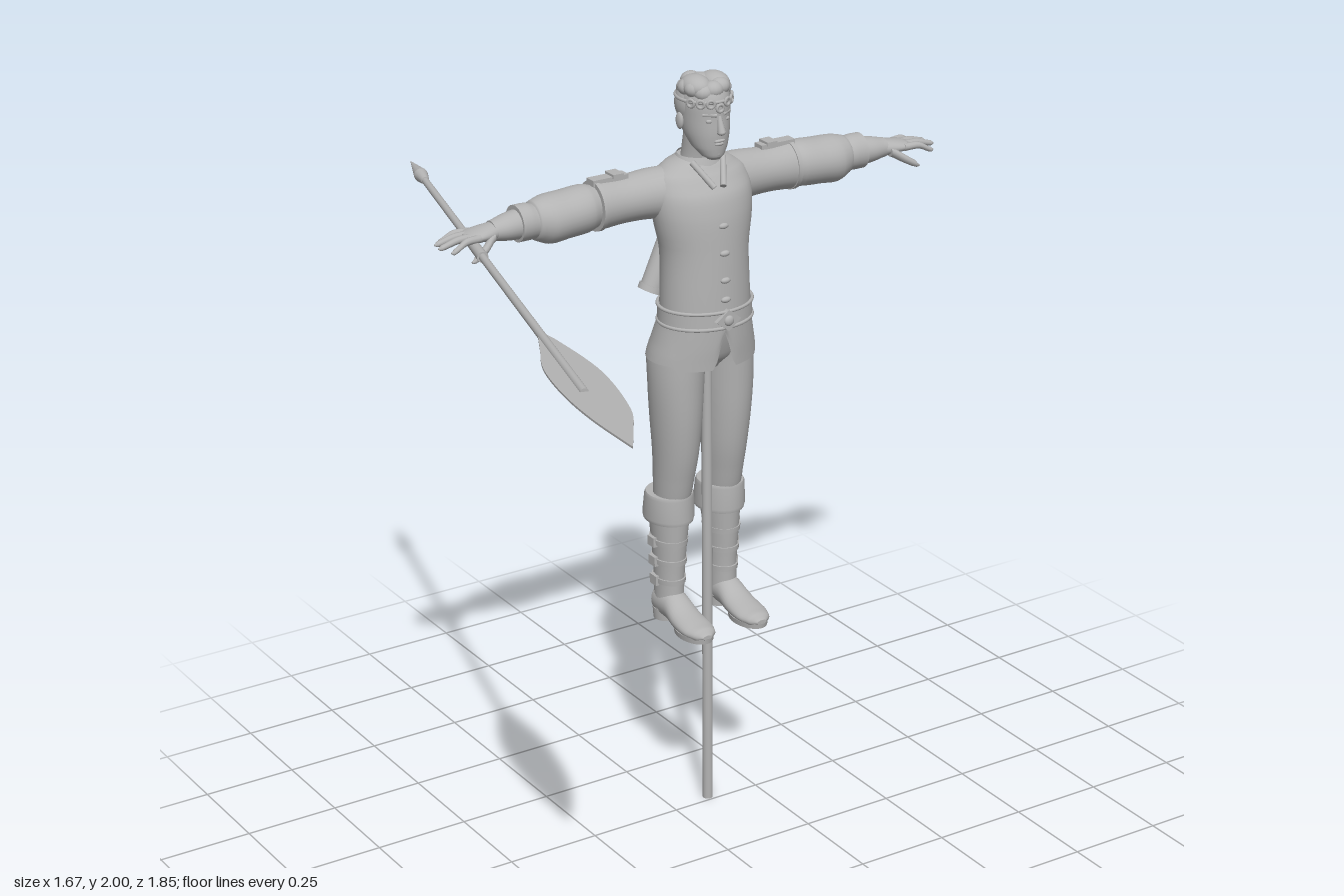
import * as THREE from 'three';

const grey = new THREE.MeshStandardMaterial({ color: 0xb3b3b3, side: THREE.DoubleSide });
grey.name = 'plain grey';

// Which coordinates (u, v) lie across each loft axis.
const ACROSS = { x: ['z', 'y'], y: ['x', 'z'], z: ['y', 'x'] };

// Elliptical loft. Rows are [t, centreU, centreV, radiusU, radiusV], t rising; smooth = steps between rows.
function loft(axis, rows, { smooth = 4, seg = 28, caps = true } = {}) {
  const rings = [];
  const at = (i) => rows[Math.max(0, Math.min(rows.length - 1, i))];
  for (let i = 0; i < rows.length - 1; i++) {
    for (let k = 0; k < smooth; k++) {
      const f = k / smooth;
      rings.push(rows[i].map((p1, c) => {
        const p0 = at(i - 1)[c], p2 = at(i + 1)[c], p3 = at(i + 2)[c];
        if (c === 0) return p1 + (p2 - p1) * f;
        const v = 0.5 * (2 * p1 + (p2 - p0) * f + (2 * p0 - 5 * p1 + 4 * p2 - p3) * f * f + (3 * p1 - p0 - 3 * p2 + p3) * f ** 3);
        return c > 2 ? Math.max(v, 0.001) : v;
      }));
    }
  }
  rings.push(rows[rows.length - 1]);
  const pos = [], idx = [], [u, v] = ACROSS[axis];
  const put = (t, a, b) => {
    const p = { [axis]: t, [u]: a, [v]: b };
    pos.push(p.x, p.y, p.z);
  };
  const ring = ([t, cu, cv, ru, rv]) => {
    for (let j = 0; j < seg; j++) {
      const q = (j / seg) * Math.PI * 2;
      put(t, cu + ru * Math.cos(q), cv + rv * Math.sin(q));
    }
  };
  rings.forEach(ring);
  for (let i = 0; i < rings.length - 1; i++) for (let j = 0; j < seg; j++) {
    const a = i * seg + j, c = i * seg + (j + 1) % seg;
    idx.push(a, a + seg, c, c, a + seg, c + seg);
  }
  if (caps) [rings[0], rings[rings.length - 1]].forEach((r, end) => {
    const base = pos.length / 3;
    ring(r);
    put(r[0], r[1], r[2]);
    for (let j = 0; j < seg; j++) {
      const a = base + j, b = base + (j + 1) % seg, m = base + seg;
      if (end) idx.push(m, b, a); else idx.push(m, a, b);
    }
  });
  const g = new THREE.BufferGeometry();
  g.setAttribute('position', new THREE.Float32BufferAttribute(pos, 3));
  g.setIndex(idx);
  g.computeVertexNormals();
  return g;
}

// Copy of a geometry reflected in x.
function mirrored(geo) {
  const g = geo.clone().scale(-1, 1, 1), a = g.index.array;
  for (let i = 0; i < a.length; i += 3) [a[i], a[i + 1]] = [a[i + 1], a[i]];
  g.computeVertexNormals();
  return g;
}

// Tapered round bar between two points.
function bar(a, b, ra, rb = ra, seg = 16) {
  const A = new THREE.Vector3(...a), B = new THREE.Vector3(...b), d = B.clone().sub(A);
  const g = new THREE.CylinderGeometry(rb, ra, d.length(), seg);
  g.applyQuaternion(new THREE.Quaternion().setFromUnitVectors(new THREE.Vector3(0, 1, 0), d.normalize()));
  const m = A.add(B).multiplyScalar(0.5);
  return g.translate(m.x, m.y, m.z);
}

const ball = (x, y, z, rx, ry, rz, n = 20) => new THREE.SphereGeometry(1, n, n).scale(rx, ry, rz).translate(x, y, z);
const box = (x, y, z, w, h, d) => new THREE.BoxGeometry(w, h, d).translate(x, y, z);

export function createModel() {
  const root = new THREE.Group();
  root.name = 'mountedFigure';
  const figure = new THREE.Group();
  figure.name = 'figure';
  figure.position.x = 0.11;
  root.add(figure);
  const add = (name, geo, parent = figure) => {
    const m = new THREE.Mesh(geo, grey);
    m.name = name;
    parent.add(m);
    return m;
  };
  const pair = (name, geo) => {
    add(name + 'Left', geo);
    add(name + 'Right', mirrored(geo));
  };

  // Support pole
  add('supportPole', bar([0, 0, -0.268], [0, 1.3, -0.268], 0.0135));

  // Tunic, with belt and split skirt
  add('tunic', loft('y', [[1.36, 0, -0.276, 0.119, 0.099], [1.42, 0, -0.276, 0.119, 0.098], [1.55, 0, -0.279, 0.117, 0.096],
    [1.64, 0, -0.287, 0.133, 0.098], [1.7, 0, -0.296, 0.137, 0.094], [1.745, 0, -0.308, 0.125, 0.078],
    [1.77, 0, -0.31, 0.088, 0.062], [1.785, 0, -0.308, 0.055, 0.05]], { seg: 40 }));
  const skirt = loft('y', [[1.268, 0, -0.297, 0.147, 0.115], [1.32, 0, -0.288, 0.135, 0.11], [1.385, 0, -0.277, 0.121, 0.101]],
    { seg: 80, caps: false });
  const sp = skirt.attributes.position;
  for (let i = 0; i < sp.count; i++) {
    const x = Math.abs(sp.getX(i)), y = sp.getY(i);
    if (sp.getZ(i) > -0.26) {
      const notch = Math.max(0, 1 - x / 0.03) * 0.8, dip = x > 0.02 && x < 0.12 ? 0.12 : 0;
      sp.setY(i, y + (1.37 - y) * (notch - dip));
    }
  }
  skirt.computeVertexNormals();
  add('tunicSkirt', skirt);
  add('belt', loft('y', [[1.368, 0, -0.276, 0.125, 0.104], [1.41, 0, -0.276, 0.124, 0.103]], { smooth: 1, seg: 40 }));
  for (const y of [1.368, 1.41]) {
    add('beltEdge', new THREE.TorusGeometry(1, 0.04, 8, 48).rotateX(Math.PI / 2).scale(0.124, 0.12, 0.104).translate(0, y, -0.276));
  }
  add('beltBuckle', new THREE.BoxGeometry(0.044, 0.044, 0.014).rotateZ(Math.PI / 4).scale(1.15, 0.9, 1).translate(0, 1.389, -0.171));
  add('buckleCentre', ball(0, 1.389, -0.165, 0.014, 0.014, 0.008, 12));
  for (const [y, z] of [[1.63, -0.19], [1.56, -0.184], [1.49, -0.181], [1.44, -0.179]]) {
    add('tunicButton', ball(0, y, z, 0.014, 0.008, 0.008, 12));
  }
  add('collar', loft('y', [[1.765, 0, -0.308, 0.068, 0.062], [1.79, 0, -0.306, 0.053, 0.052]], { smooth: 1, caps: false }));
  pair('collarTrim', bar([0.045, 1.782, -0.262], [0.013, 1.725, -0.21], 0.008));

  // Head and face
  add('neck', loft('y', [[1.75, 0, -0.308, 0.05, 0.046], [1.79, 0, -0.302, 0.045, 0.043], [1.85, 0, -0.29, 0.045, 0.043]]));
  add('head', loft('y', [[1.793, 0, -0.236, 0.016, 0.018], [1.802, 0, -0.24, 0.029, 0.029], [1.825, 0, -0.255, 0.045, 0.048],
    [1.86, 0, -0.27, 0.056, 0.066], [1.9, 0, -0.276, 0.06, 0.071], [1.94, 0, -0.278, 0.061, 0.072],
    [1.97, 0, -0.28, 0.052, 0.062], [1.987, 0, -0.28, 0.03, 0.04]]));
  add('nose', bar([0, 1.908, -0.208], [0, 1.868, -0.197], 0.005, 0.011, 10));
  add('noseTip', ball(0, 1.868, -0.2, 0.011, 0.008, 0.012, 10));
  add('upperLip', ball(0, 1.845, -0.206, 0.016, 0.004, 0.006, 10));
  add('lowerLip', ball(0, 1.836, -0.209, 0.014, 0.005, 0.006, 10));
  add('chin', ball(0, 1.811, -0.222, 0.018, 0.015, 0.013, 12));
  pair('eye', ball(0.023, 1.896, -0.216, 0.011, 0.006, 0.007, 12));
  pair('brow', bar([0.009, 1.91, -0.206], [0.039, 1.912, -0.223], 0.005, 0.004, 8));
  pair('ear', ball(0.062, 1.885, -0.29, 0.008, 0.022, 0.014, 14));

  // Hair, locks and headband
  add('hair', ball(0, 1.925, -0.292, 0.066, 0.07, 0.063, 28));
  for (let i = 0; i < 11; i++) {
    const a = (i / 11) * Math.PI * 2;
    add('hairLock', ball(Math.sin(a) * 0.042, 1.967 + 0.006 * Math.sin(i * 2.4), -0.278 + Math.cos(a) * 0.042, 0.027, 0.022, 0.025, 14));
  }
  pair('hairCrown', ball(0.027, 1.972, -0.273, 0.036, 0.028, 0.046));
  add('headband', new THREE.TorusGeometry(1, 0.06, 8, 48).rotateX(Math.PI / 2).scale(0.067, 0.075, 0.073).translate(0, 1.943, -0.28));
  for (let i = -3; i <= 3; i++) {
    const a = i * 0.36;
    add('headbandCurl', new THREE.TorusGeometry(0.009, 0.004, 8, 16).rotateY(a)
      .translate(Math.sin(a) * 0.067, 1.94 - (i === 0 ? 0.012 : 0), -0.28 + Math.cos(a) * 0.076));
  }

  // Arms: short sleeve, puffed sleeve, cuff, forearm
  pair('shoulderSleeve', loft('x', [[0.05, -0.31, 1.695, 0.07, 0.07], [0.13, -0.326, 1.699, 0.064, 0.063],
    [0.21, -0.33, 1.697, 0.058, 0.058], [0.288, -0.33, 1.696, 0.059, 0.062]]));
  pair('sleeveHem', loft('x', [[0.278, -0.33, 1.696, 0.062, 0.064], [0.29, -0.33, 1.696, 0.062, 0.064]], { smooth: 1 }));
  pair('puffedSleeve', loft('x', [[0.285, -0.332, 1.695, 0.05, 0.053], [0.315, -0.333, 1.694, 0.062, 0.06], [0.37, -0.334, 1.69, 0.065, 0.06],
    [0.42, -0.334, 1.687, 0.063, 0.061], [0.455, -0.333, 1.69, 0.048, 0.05], [0.465, -0.333, 1.69, 0.035, 0.036]]));
  pair('sleeveCuff', loft('x', [[0.455, -0.333, 1.69, 0.043, 0.043], [0.475, -0.333, 1.692, 0.045, 0.046], [0.505, -0.333, 1.692, 0.046, 0.046]]));
  pair('forearm', loft('x', [[0.49, -0.332, 1.691, 0.038, 0.038], [0.535, -0.33, 1.69, 0.036, 0.033], [0.575, -0.328, 1.689, 0.028, 0.025]]));
  pair('shoulderStrap', box(0.245, 1.757, -0.331, 0.1, 0.016, 0.032));
  pair('shoulderBuckle', box(0.225, 1.766, -0.331, 0.03, 0.01, 0.04));

  // Hands: palm, four fingers, thumb
  pair('palm', loft('x', [[0.555, -0.328, 1.689, 0.026, 0.022], [0.59, -0.328, 1.688, 0.034, 0.02],
    [0.63, -0.328, 1.687, 0.038, 0.014], [0.65, -0.328, 1.685, 0.034, 0.009]]));
  [[-0.358, -0.37, 0.7], [-0.34, -0.345, 0.72], [-0.319, -0.316, 0.725], [-0.299, -0.289, 0.705]].forEach(([z0, z1, tip], i) => {
    const y1 = 1.68 - Math.abs(i - 1.5) * 0.006;
    pair('finger' + (i + 1), loft('x', [[0.62, z0, 1.687, 0.01, 0.01], [(0.62 + tip) / 2, (z0 + z1) / 2, 1.687, 0.009, 0.009],
      [tip - 0.008, z1, y1, 0.007, 0.007], [tip, z1, y1 - 0.001, 0.002, 0.002]], { seg: 10 }));
  });
  pair('thumb', loft('x', [[0.58, -0.308, 1.682, 0.016, 0.014], [0.61, -0.288, 1.664, 0.012, 0.012],
    [0.642, -0.28, 1.646, 0.009, 0.009], [0.655, -0.279, 1.639, 0.003, 0.003]], { seg: 12 }));

  // Trousers
  add('trouserSeat', loft('y', [[1.235, 0, -0.3, 0.06, 0.055], [1.27, 0, -0.3, 0.115, 0.082], [1.32, 0, -0.292, 0.122, 0.092], [1.38, 0, -0.28, 0.116, 0.094]]));
  pair('trouserLeg', loft('y', [[0.84, 0.076, -0.322, 0.044, 0.053], [0.9, 0.075, -0.313, 0.048, 0.057], [1.0, 0.073, -0.302, 0.056, 0.067],
    [1.1, 0.074, -0.298, 0.063, 0.076], [1.2, 0.074, -0.297, 0.068, 0.081], [1.28, 0.07, -0.3, 0.068, 0.088], [1.34, 0.06, -0.29, 0.06, 0.085]]));

  // Boots
  pair('bootShaft', loft('y', [[0.56, 0.081, -0.325, 0.036, 0.045], [0.65, 0.08, -0.325, 0.037, 0.046],
    [0.75, 0.079, -0.326, 0.043, 0.055], [0.86, 0.077, -0.329, 0.053, 0.065]]));
  pair('bootCuff', loft('y', [[0.812, 0.077, -0.332, 0.061, 0.074], [0.822, 0.077, -0.331, 0.064, 0.075],
    [0.88, 0.077, -0.327, 0.062, 0.069], [0.888, 0.077, -0.326, 0.059, 0.066]], { smooth: 1 }));
  pair('bootFoot', loft('z', [[-0.374, 0.57, 0.082, 0.024, 0.022], [-0.352, 0.578, 0.082, 0.042, 0.036], [-0.29, 0.575, 0.082, 0.041, 0.038],
    [-0.24, 0.558, 0.083, 0.029, 0.043], [-0.185, 0.551, 0.083, 0.021, 0.044], [-0.15, 0.549, 0.083, 0.017, 0.032], [-0.136, 0.547, 0.083, 0.006, 0.014]]));
  pair('bootSole', loft('y', [[0.529, 0.083, -0.203, 0.042, 0.066], [0.544, 0.083, -0.203, 0.044, 0.068]], { smooth: 1 }));
  pair('bootHeel', loft('y', [[0.527, 0.082, -0.338, 0.033, 0.033], [0.558, 0.082, -0.338, 0.035, 0.036]], { smooth: 1 }));
  for (const [y, r] of [[0.755, 0.044], [0.7, 0.041], [0.645, 0.038]]) {
    pair('bootStrap', loft('y', [[y - 0.007, 0.08, -0.326, r + 0.002, r + 0.013], [y + 0.007, 0.08, -0.326, r + 0.003, r + 0.014]], { smooth: 1 }));
    pair('bootBuckle', box(0.082 + r, y, -0.331, 0.012, 0.026, 0.03));
  }

  // Back tube, slung across the back
  const low = [-0.078, 1.405, -0.41], high = [0.083, 1.76, -0.41];
  const along = (f) => low.map((v, i) => v + (high[i] - v) * f);
  add('backTube', bar(low, high, 0.029, 0.031, 24));
  add('tubeBase', bar(low, along(0.04), 0.033, 0.033, 24));
  add('tubeRim', bar(along(0.94), along(1.0), 0.034, 0.034, 24));

  // Paddle spear, held at the right hand
  const spear = new THREE.Group();
  spear.name = 'paddleSpear';
  root.add(spear);
  const on = (z) => [-0.357 - 0.2656 * (z + 0.93), 1.667 - 0.004 * z, z];
  add('spearShaft', bar(on(0.61), on(-0.8), 0.0105, 0.009), spear);
  add('spearGrip', bar(on(-0.23), on(-0.37), 0.014, 0.013), spear);
  add('spearSocket', bar(on(-0.78), on(-0.825), 0.01, 0.018), spear);
  add('spearPoint', bar(on(-0.825), on(-0.93), 0.018, 0.001), spear);
  const leaf = [[-0.663, 0.32], [-0.674, 0.53], [-0.73, 0.74], [-0.79, 0.85], [-0.835, 0.92],
    [-0.83, 0.75], [-0.812, 0.6], [-0.775, 0.45], [-0.72, 0.34], [-0.672, 0.246]].map((p) => new THREE.Vector2(...p));
  const shape = new THREE.Shape().moveTo(-0.672, 0.246);
  shape.splineThru(leaf.slice(0, 5));
  shape.splineThru(leaf.slice(5));
  add('paddleBlade', new THREE.ExtrudeGeometry(shape, { depth: 0.005, bevelEnabled: false, curveSegments: 8 })
    .rotateX(Math.PI / 2).translate(0, 1.667, 0), spear);
  return root;
}
